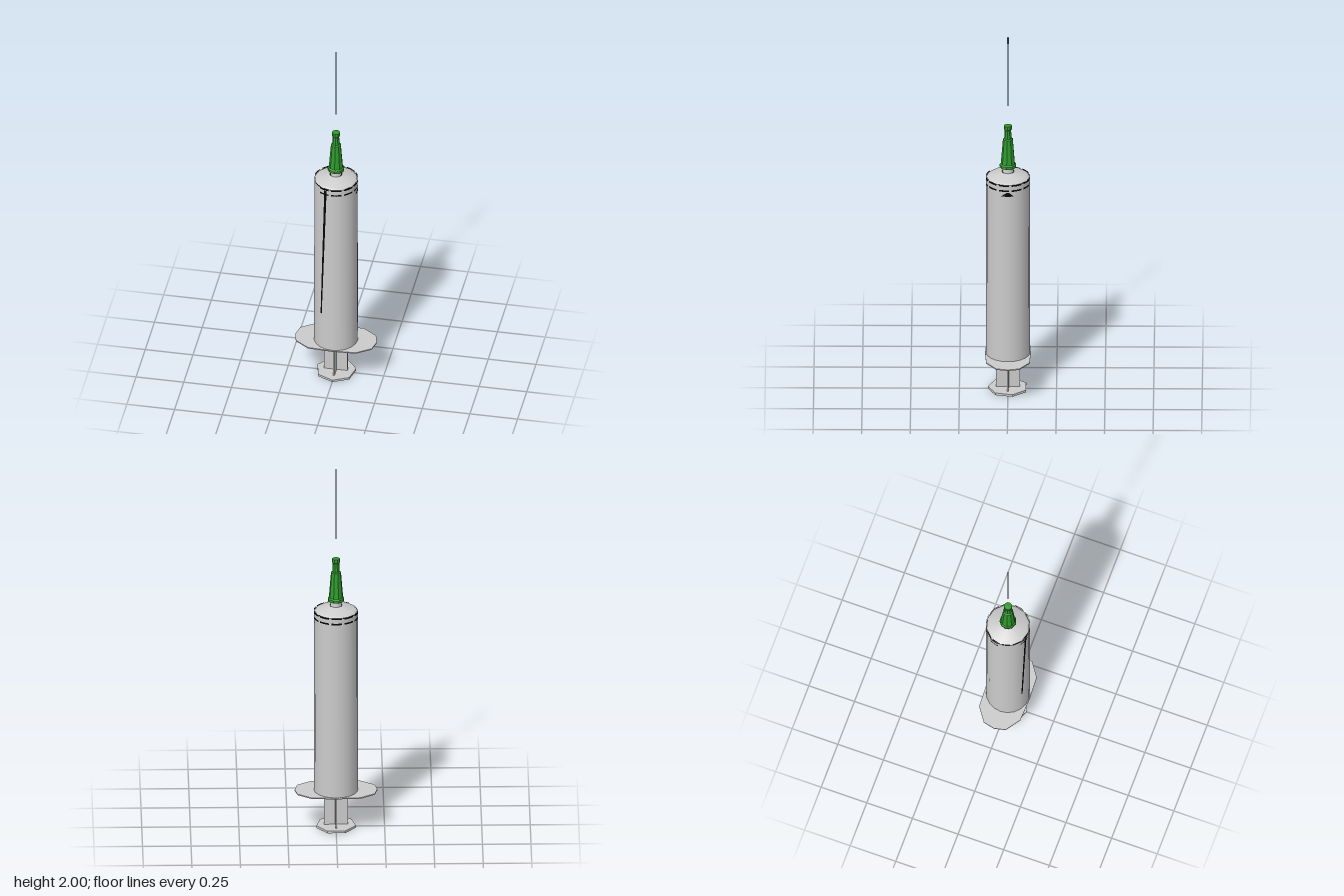
import * as THREE from 'three';

const material = (name, color, side = THREE.FrontSide) => {
  const m = new THREE.MeshStandardMaterial({ color, side });
  m.name = name;
  return m;
};

export function createModel() {
  const group = new THREE.Group();
  const plastic = material('clear grey plastic', 0xcccccc, THREE.DoubleSide);
  const green = material('green hub', 0x2e9a2c, THREE.DoubleSide);
  const rubber = material('black rubber', 0x050505, THREE.DoubleSide);
  const steel = material('needle steel', 0x777777, THREE.DoubleSide);

  const add = (name, geometry, mat, y = 0) => {
    const mesh = new THREE.Mesh(geometry, mat);
    mesh.name = name;
    mesh.position.y = y;
    group.add(mesh);
    return mesh;
  };
  const lathe = (points, sides) =>
    new THREE.LatheGeometry(points.map(([r, y]) => new THREE.Vector2(r, y)), sides);

  // Barrel: open tube, shoulder and nozzle
  add('barrel', lathe([[0.114, 0.2], [0.112, 1.208]], 20), plastic);
  add('shoulder', lathe([[0.112, 1.208], [0.098, 1.219], [0.032, 1.238]], 12), plastic);
  add('nozzle', lathe([[0.03, 1.236], [0.025, 1.275]], 8), plastic);

  // Finger flange with a hole for the plunger
  const corners = [[0.213, 0], [0.199, 0.06], [0.125, 0.112], [0, 0.118]];
  const half = [...corners, ...corners.slice(0, 3).reverse().map(([x, z]) => [-x, z])];
  const outline = [...half, ...half.slice(1, 6).reverse().map(([x, z]) => [x, -z])];
  const shape = new THREE.Shape(outline.map(([x, z]) => new THREE.Vector2(x, z)));
  const hole = new THREE.Path();
  hole.absarc(0, 0, 0.104, 0, Math.PI * 2, true);
  shape.holes.push(hole);
  const flange = new THREE.ExtrudeGeometry(shape, { depth: 0.006, bevelEnabled: false, curveSegments: 8 });
  flange.rotateX(-Math.PI / 2);
  add('fingerFlange', flange, plastic, 0.2);

  // Plunger: crossed ribs, thumb plate and hidden rubber stopper
  for (const turn of [0, Math.PI / 2]) {
    const rib = add('plungerRib', new THREE.BoxGeometry(0.122, 1.14, 0.008), plastic, 0.582);
    rib.rotation.y = turn;
  }
  const plate = new THREE.CylinderGeometry(0.104, 0.104, 0.012, 7).toNonIndexed();
  plate.computeVertexNormals();
  add('thumbPlate', plate, plastic, 0.006);
  add('stopper', new THREE.CylinderGeometry(0.106, 0.106, 0.06, 16), rubber, 1.172);

  // Dark marks wrapped on the barrel; angles run from the front towards +x
  const mark = (name, yLow, yHigh, low, high) => {
    const g = new THREE.PlaneGeometry(1, 1, 4, 1);
    const p = g.attributes.position;
    for (let i = 0; i < p.count; i++) {
      const u = p.getX(i) + 0.5, v = p.getY(i) + 0.5;
      const a = THREE.MathUtils.degToRad(
        THREE.MathUtils.lerp(THREE.MathUtils.lerp(low[0], low[1], u),
          THREE.MathUtils.lerp(high[0], high[1], u), v));
      p.setXYZ(i, 0.1145 * Math.sin(a), THREE.MathUtils.lerp(yLow, yHigh, v), 0.1145 * Math.cos(a));
    }
    g.computeVertexNormals();
    add(name, g, rubber);
  };
  for (const y of [1.173, 1.202])
    for (let a = -36; a < 270; a += 34) mark('stopperRing', y, y + 0.009, [a, a + 27], [a, a + 27]);
  mark('longStreak', 0.42, 1.2, [-33, -29], [-21, -14]);
  mark('sideMark', 1.146, 1.168, [72, 106], [87, 93]);

  // Green needle hub with stepped collars
  add('needleHub', lathe([[0.025, 1.262], [0.043, 1.264], [0.043, 1.278], [0.037, 1.284],
    [0.026, 1.422], [0.019, 1.426], [0.017, 1.474], [0.021, 1.478], [0.021, 1.498], [0, 1.5]], 9), green)
    .geometry = (() => {
      const g = group.children.at(-1).geometry.toNonIndexed();
      g.computeVertexNormals();
      return g;
    })();

  // Fine needle, standing clear of the hub
  add('needle', new THREE.CylinderGeometry(0.004, 0.0025, 0.39, 6), steel, 1.805);

  return group;
}
